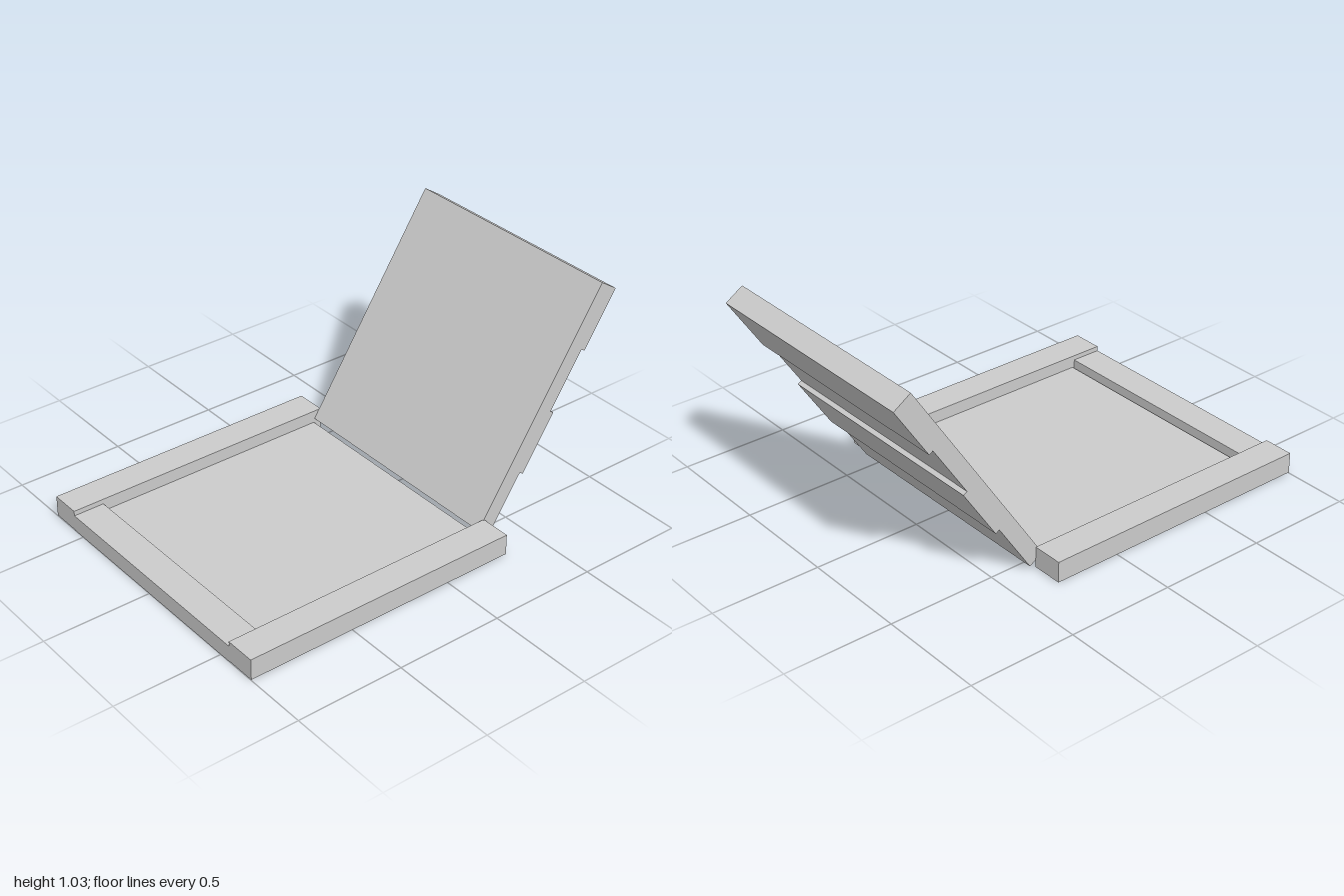
import * as THREE from 'three';

export function createModel() {
  const model = new THREE.Group();
  const grey = new THREE.MeshStandardMaterial({ color: 0xcccccc });

  // Box given by its minimum and maximum corners
  const addBox = (parent, name, [x0, y0, z0], [x1, y1, z1]) => {
    const mesh = new THREE.Mesh(new THREE.BoxGeometry(x1 - x0, y1 - y0, z1 - z0), grey);
    mesh.position.set((x0 + x1) / 2, (y0 + y1) / 2, (z0 + z1) / 2);
    mesh.name = name;
    parent.add(mesh);
  };

  // Base: two side rails, a lower front bar and a thin recessed panel
  const base = new THREE.Group();
  base.name = 'base';
  addBox(base, 'leftRail', [0.558, 0.003, -0.318], [0.702, 0.1, 1]);
  addBox(base, 'rightRail', [-0.702, 0.003, -0.318], [-0.56, 0.1, 1]);
  addBox(base, 'frontBar', [-0.56, 0, 0.855], [0.558, 0.077, 1]);
  addBox(base, 'seatPanel', [-0.56, 0.031, -0.28], [0.558, 0.041, 0.845]);
  model.add(base);

  // Reclined back: four boards flush in front, alternating in thickness behind
  const back = new THREE.Group();
  back.name = 'backrest';
  back.position.set(0, 0.06, -0.284);
  back.rotation.x = -0.58;
  const boardHeight = 0.29;
  [0.076, 0.097, 0.076, 0.097].forEach((depth, i) => {
    addBox(back, `backBoard${i + 1}`,
      [-0.56, i * boardHeight, -depth], [0.565, (i + 1) * boardHeight, 0]);
  });
  model.add(back);

  return model;
}
